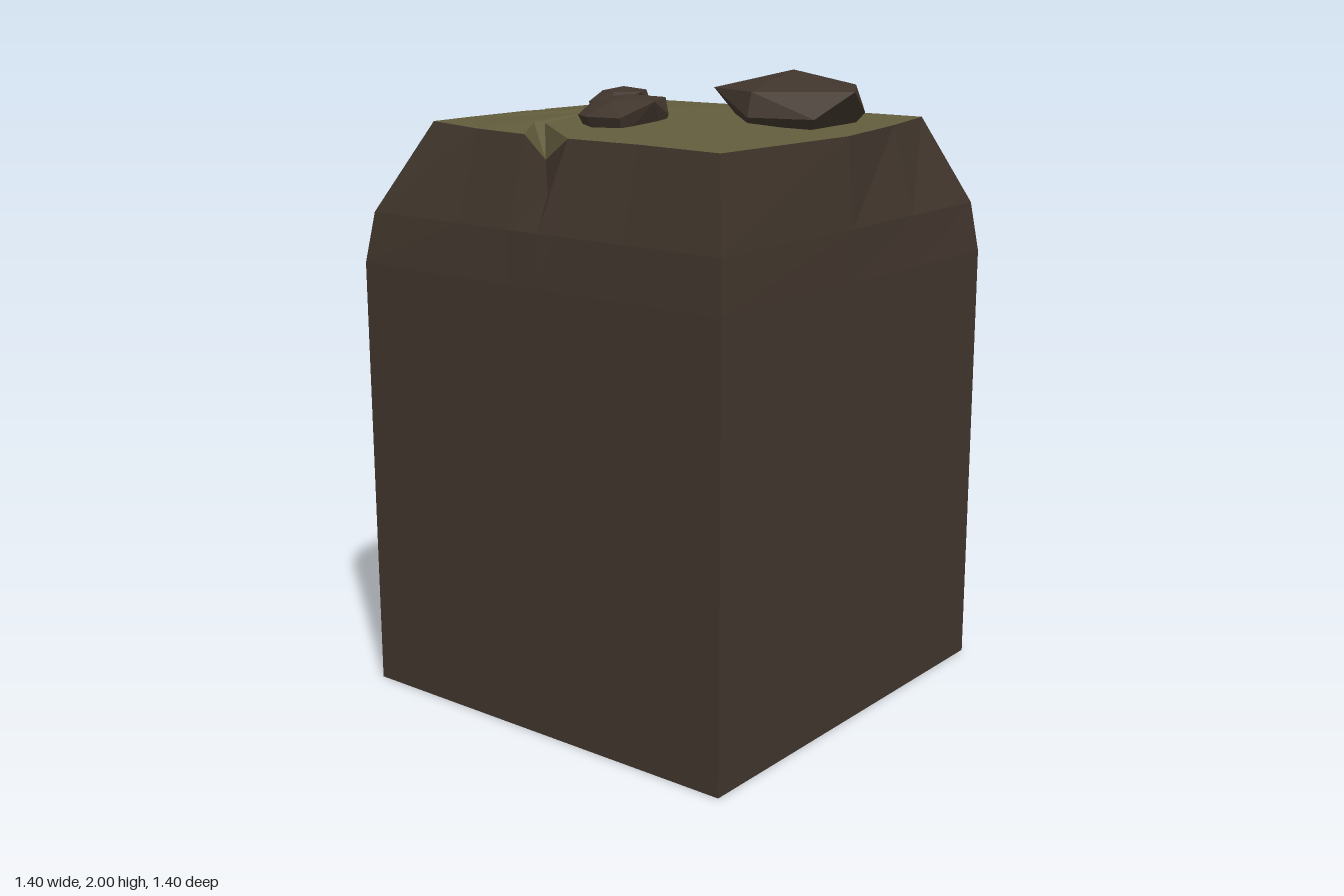
import * as THREE from 'three';
import { ConvexGeometry } from 'three/addons/geometries/ConvexGeometry.js';

const earth = new THREE.MeshStandardMaterial({ color: 0x40352c, flatShading: true });
const grass = new THREE.MeshStandardMaterial({ color: 0x625c3c, flatShading: true });
const earthThin = earth.clone();
const grassThin = grass.clone();
earthThin.side = grassThin.side = THREE.DoubleSide;

const HALF = 0.7;

// Gently domed height of the grass at x, z
const topY = (x, z) => 1.83 + 0.065 * Math.max(0, 1 - Math.max(Math.abs(x), Math.abs(z)) / 0.64);
const onTop = ([x, z]) => new THREE.Vector3(x, topY(x, z), z);

function trianglesMesh(name, points, material) {
  const geometry = new THREE.BufferGeometry().setFromPoints(points);
  geometry.computeVertexNormals();
  const mesh = new THREE.Mesh(geometry, material);
  mesh.name = name;
  return mesh;
}

// Rim of the grass, side by side; each side starts at a corner.
// A crack has a path over the grass, a floor point and a notch in the wall.
const sides = [
  { axis: 'z', sign: 1, items: [[0.65, 0.64], [0.35, 0.62],
    { path: [[0.09, 0.62], [-0.155, 0.45], [-0.15, 0.26], [-0.2, 0.45], [-0.09, 0.61]],
      floor: [-0.09, 1.75, 0.52], notch: [0.03, 1.67, 0.645] },
    [-0.3, 0.59]] },
  { axis: 'x', sign: -1, items: [[-0.54, 0.54], [-0.62, 0.32],
    { path: [[-0.65, 0.01], [-0.27, -0.13], [-0.65, -0.09]],
      floor: [-0.57, 1.77, -0.02], notch: [-0.665, 1.73, -0.02] }] },
  { axis: 'z', sign: -1, items: [[-0.57, -0.56],
    { path: [[-0.15, -0.64], [-0.135, -0.4], [0.04, -0.28], [-0.08, -0.63]],
      floor: [-0.09, 1.75, -0.58], notch: [-0.11, 1.68, -0.66] },
    { path: [[0.2, -0.64], [0.25, -0.45], [0.3, -0.52], [0.27, -0.57]],
      floor: [0.23, 1.77, -0.58], notch: [0.23, 1.73, -0.645] }] },
  { axis: 'x', sign: 1, items: [[0.56, -0.55], [0.61, -0.3], [0.67, 0.05]] },
];

// Rocks: apex, upper ring and lower ring
const rocks = [
  { name: 'largeRock', apex: [0.35, 2.0, -0.13], upperY: 1.945, lowerY: 1.87,
    upper: [[0.16, -0.27], [0.43, -0.36], [0.6, -0.09], [0.35, 0.09], [0.15, 0.01]],
    lower: [[0.1, -0.15], [0.26, -0.37], [0.53, -0.26], [0.55, 0.05], [0.35, 0.11]] },
  { name: 'frontRock', apex: [0.08, 1.94, 0.33], upperY: 1.925, lowerY: 1.88,
    upper: [[-0.02, 0.23], [0.11, 0.2], [0.19, 0.35], [0.07, 0.41], [-0.03, 0.36]],
    lower: [[-0.09, 0.31], [0.17, 0.26], [0.14, 0.45], [0.03, 0.47], [-0.04, 0.43]] },
  { name: 'smallRock', apex: [-0.19, 1.935, 0.04], upperY: 1.92, lowerY: 1.89,
    upper: [[-0.25, -0.02], [-0.17, -0.05], [-0.11, 0.05], [-0.18, 0.1], [-0.26, 0.06]],
    lower: [[-0.31, 0.03], [-0.24, -0.06], [-0.13, -0.02], [-0.16, 0.13], [-0.25, 0.14]] },
];

function makeCap(outline) {
  // Two panels meet along a low ridge
  const find = (x, z) => outline.findIndex((p) => p[0] === x && p[1] === z);
  const right = find(0.67, 0.05);
  const left = find(-0.62, 0.32);
  const ridge = [[-0.2, 0.2], [0.2, 0.2]];
  const front = [outline[right], ...outline.slice(0, left + 1), ...ridge];
  const back = [...outline.slice(left, right + 1), ...ridge.slice().reverse()];
  const points = [];
  for (const panel of [front, back]) {
    const flat = panel.map(([x, z]) => new THREE.Vector2(x, z));
    for (const face of THREE.ShapeUtils.triangulateShape(flat, [])) {
      const [a, b, c] = face.map((i) => onTop(panel[i]));
      const up = b.clone().sub(a).cross(c.clone().sub(a)).y > 0;
      points.push(a, ...(up ? [b, c] : [c, b]));
    }
  }
  return trianglesMesh('grassTop', points, grass);
}

function makeCrack({ path, floor, notch }) {
  const group = new THREE.Group();
  group.name = 'crack';
  const rim = path.map(onTop);
  const f = new THREE.Vector3(...floor);
  const n = new THREE.Vector3(...notch);
  const walls = [];
  for (let i = 0; i < rim.length - 1; i++) walls.push(f, rim[i], rim[i + 1]);
  group.add(trianglesMesh('crackWalls', walls, grassThin));
  group.add(trianglesMesh('crackFloor', [f, rim[0], n, f, n, rim[rim.length - 1]], earthThin));
  return group;
}

function makeBody(columns) {
  // Each column runs from the rim through two bevel rings to the ground
  const rings = columns.map(({ top, base }) => {
    const mid = top.clone().lerp(base, 0.85).setY(1.56);
    return [top, mid, base.clone().setY(1.4), base];
  });
  const points = [];
  const centre = new THREE.Vector3();
  rings.forEach((a, i) => {
    const b = rings[(i + 1) % rings.length];
    for (let k = 0; k < 3; k++) {
      points.push(a[k], b[k], b[k + 1], a[k], b[k + 1], a[k + 1]);
    }
    points.push(centre, a[3], b[3]);
  });
  return trianglesMesh('earthBlock', points, earth);
}

function makeRock({ name, apex, upper, lower, upperY, lowerY }) {
  const points = [new THREE.Vector3(...apex)];
  for (const [x, z] of upper) points.push(new THREE.Vector3(x, upperY, z));
  for (const [x, z] of lower) {
    points.push(new THREE.Vector3(x, lowerY, z));
    // Narrower foot sunk into the grass
    points.push(new THREE.Vector3(
      THREE.MathUtils.lerp(apex[0], x, 0.8), 1.82, THREE.MathUtils.lerp(apex[2], z, 0.8)));
  }
  const mesh = new THREE.Mesh(new ConvexGeometry(points), earth);
  mesh.name = name;
  return mesh;
}

export function createModel() {
  const model = new THREE.Group();
  model.name = 'earthPillar';
  const outline = [];
  const columns = [];
  for (const { axis, sign, items } of sides) {
    items.forEach((item, i) => {
      const addColumn = (top) => {
        const base = top.clone().setY(0);
        base[axis] = sign * HALF;
        if (i === 0 && !item.path) base.set(Math.sign(top.x) * HALF, 0, Math.sign(top.z) * HALF);
        columns.push({ top, base });
      };
      if (item.path) {
        outline.push(...item.path);
        addColumn(onTop(item.path[0]));
        addColumn(new THREE.Vector3(...item.notch));
        addColumn(onTop(item.path[item.path.length - 1]));
        model.add(makeCrack(item));
      } else {
        outline.push(item);
        addColumn(onTop(item));
      }
    });
  }
  model.add(makeBody(columns), makeCap(outline), ...rocks.map(makeRock));
  return model;
}
